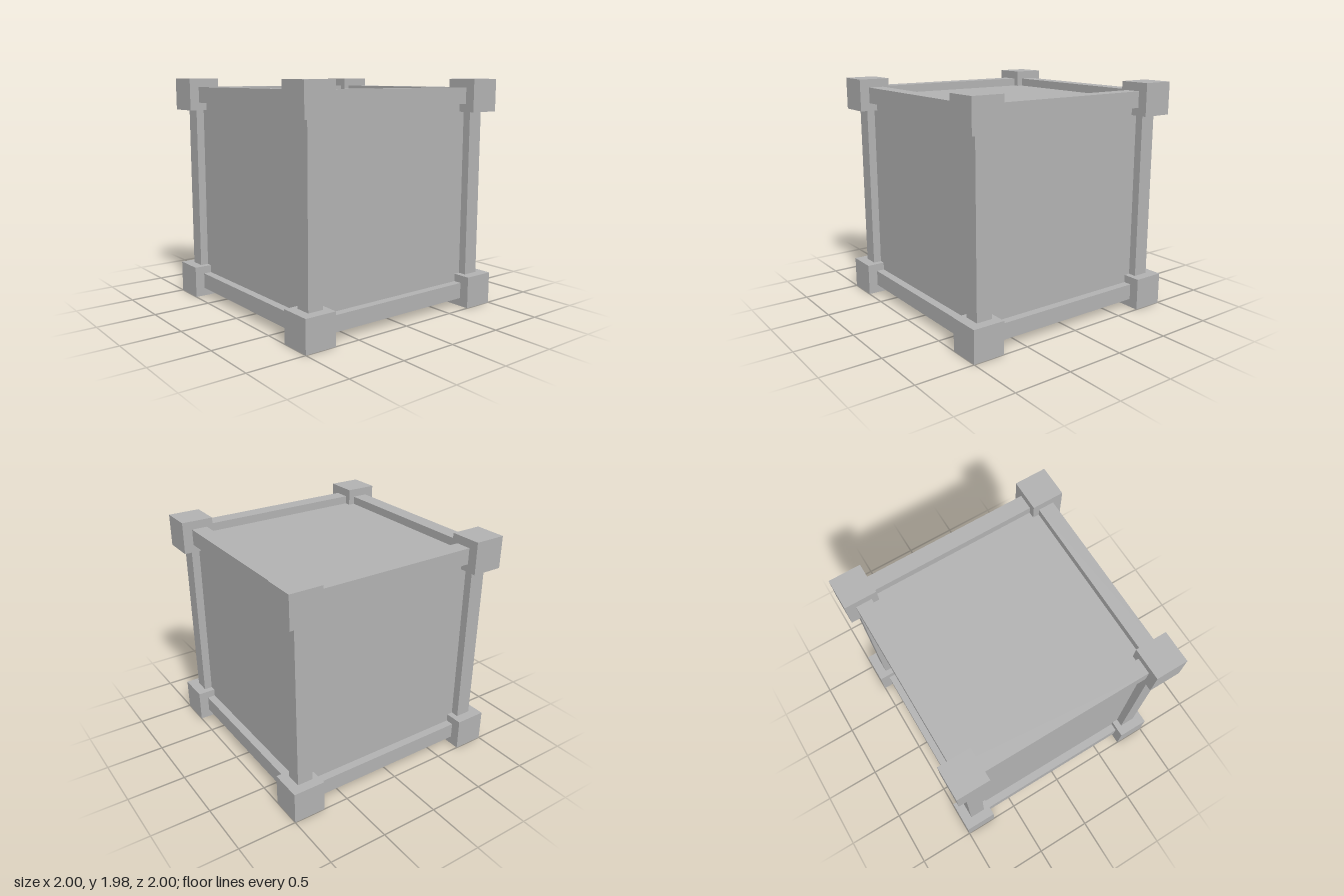
import * as THREE from 'three';

const MID = 0.9875;    // height of the crate's centre
const CUBE = 0.276;    // corner block side
const BEAM = 0.137;    // edge beam thickness
const BEAM_AT = 0.847; // beam axis distance from the centre
const BEAM_LEN = 1.54; // beams reach slightly into the corner blocks
const CORE = 1.69;     // recessed body side

// Box without its underside
function openBottomBox(size) {
  const box = new THREE.BoxGeometry(size, size, size);
  const index = Array.from(box.index.array);
  index.splice(18, 6); // fourth side is -y
  box.setIndex(index);
  box.clearGroups();
  return box;
}

export function createModel() {
  const model = new THREE.Group();
  model.name = 'crate';
  const grey = new THREE.MeshStandardMaterial({ color: 0xb2b2b2, side: THREE.DoubleSide });
  grey.name = 'plain grey';

  function add(name, geometry, x, y, z) {
    const mesh = new THREE.Mesh(geometry, grey);
    mesh.name = name;
    mesh.position.set(x, MID + y, z);
    model.add(mesh);
  }

  // Recessed body forming the six panels
  add('body', new THREE.BoxGeometry(CORE, CORE, CORE), 0, 0, 0);

  // Twelve edge beams, four along each axis
  const beamX = new THREE.BoxGeometry(BEAM_LEN, BEAM, BEAM);
  const beamY = new THREE.BoxGeometry(BEAM, BEAM_LEN, BEAM);
  const beamZ = new THREE.BoxGeometry(BEAM, BEAM, BEAM_LEN);
  for (const a of [-BEAM_AT, BEAM_AT]) {
    for (const b of [-BEAM_AT, BEAM_AT]) {
      add('crossBeam', beamX, 0, a, b);
      add('post', beamY, a, 0, b);
      add('sideBeam', beamZ, a, b, 0);
    }
  }

  // Eight corner blocks; the lower ones are open underneath
  const block = new THREE.BoxGeometry(CUBE, CUBE, CUBE);
  const foot = openBottomBox(CUBE);
  const side = 1 - CUBE / 2;
  const lift = MID - CUBE / 2;
  for (const x of [-side, side]) {
    for (const z of [-side, side]) {
      add('topCorner', block, x, lift, z);
      add('footCorner', foot, x, -lift, z);
    }
  }
  return model;
}
